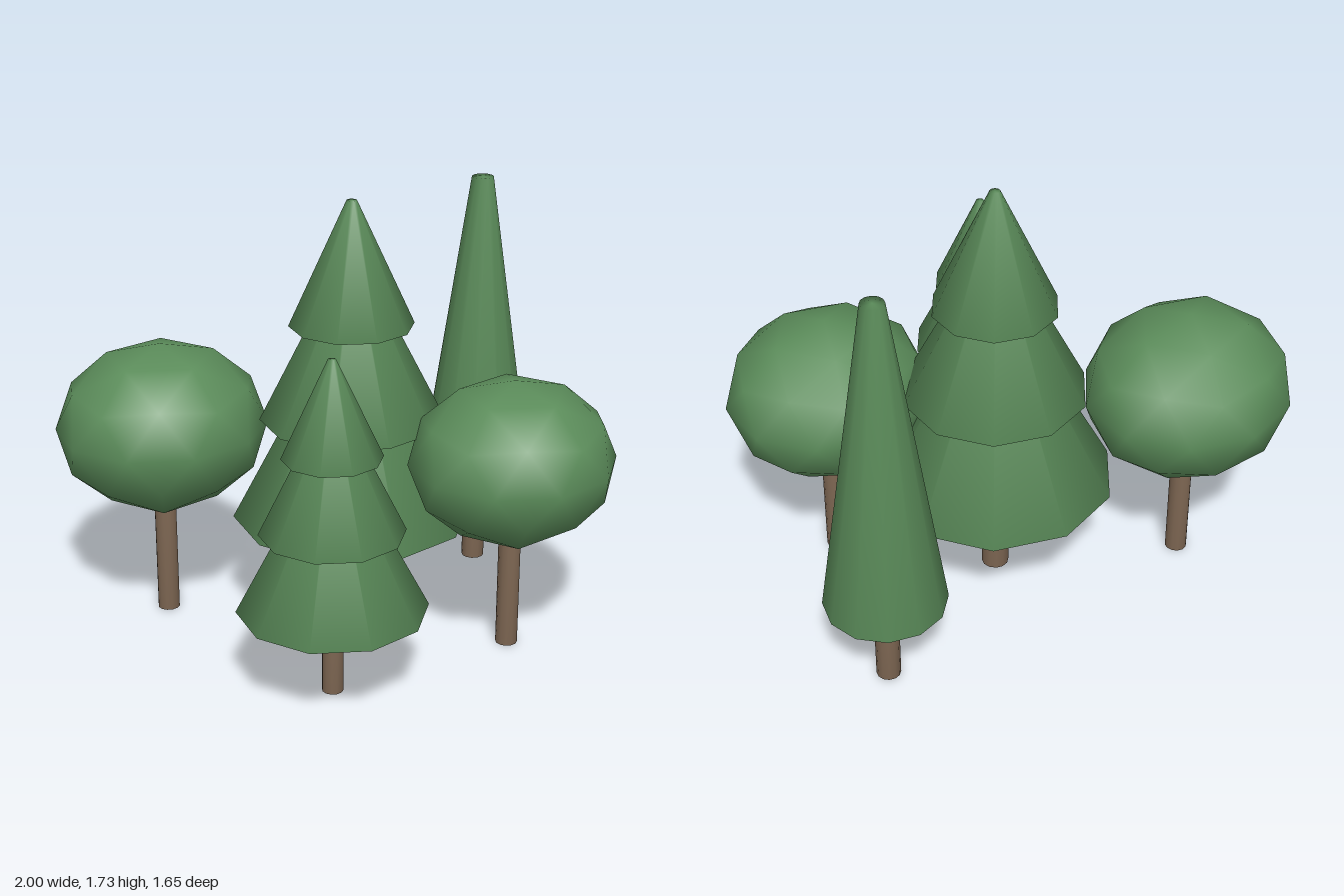
import * as THREE from 'three';
import { mergeVertices } from 'three/addons/utils/BufferGeometryUtils.js';

const leaf = new THREE.MeshStandardMaterial({ name: 'leaf green', color: 0x5b8c5a });
const bark = new THREE.MeshStandardMaterial({ name: 'bark brown', color: 0x7d6652 });

// Tapered prism whose wall and end caps share soft normals
function softCylinder(topRadius, baseRadius, y0, y1, sides) {
  let g = new THREE.CylinderGeometry(topRadius, baseRadius, y1 - y0, sides);
  g.deleteAttribute('uv');
  g.deleteAttribute('normal');
  g = mergeVertices(g, 1e-4);
  g.computeVertexNormals();
  return g.translate(0, (y0 + y1) / 2, 0);
}

function addMesh(parent, name, geometry, material) {
  const mesh = new THREE.Mesh(geometry, material);
  mesh.name = name;
  parent.add(mesh);
}

// A tree group at (x, z) with its trunk
function tree(name, x, z, trunkRadius, trunkTop) {
  const group = new THREE.Group();
  group.name = name;
  group.position.set(x, 0, z);
  addMesh(group, 'trunk', softCylinder(trunkRadius, trunkRadius, 0, trunkTop, 12), bark);
  return group;
}

// Conifer: foliage tiers given as [base radius, base y, top y]
function conifer(name, x, z, trunkRadius, topRadius, sides, tiers) {
  const group = tree(name, x, z, trunkRadius, tiers[0][1] + 0.06);
  tiers.forEach(([radius, y0, y1], i) =>
    addMesh(group, `foliageTier${i + 1}`, softCylinder(topRadius, radius, y0, y1, sides), leaf));
  return group;
}

// Broadleaf: flattened faceted ball with a corner pointing straight up
function broadleaf(name, x, z, trunkRadius, y, rx, ry, rz) {
  const group = tree(name, x, z, trunkRadius, y - ry + 0.08);
  const crown = new THREE.IcosahedronGeometry(1, 1)
    .rotateZ(-Math.atan(2 / (1 + Math.sqrt(5))))
    .scale(rx, ry, rz)
    .translate(0, y, 0);
  addMesh(group, 'crown', crown, leaf);
  return group;
}

export function createModel() {
  const model = new THREE.Group();
  model.name = 'treeCluster';
  model.add(
    conifer('tallConifer', 0.06, -0.08, 0.054, 0.02, 10,
      [[0.47, 0.45, 1.3], [0.36, 0.86, 1.53], [0.244, 1.24, 1.73]]),
    conifer('smallConifer', -0.252, 0.465, 0.041, 0.015, 10,
      [[0.36, 0.345, 1.0], [0.273, 0.655, 1.18], [0.187, 0.95, 1.325]]),
    conifer('columnTree', 0.762, -0.373, 0.047, 0.044, 12,
      [[0.234, 0.37, 1.68]]),
    broadleaf('backRoundTree', -0.602, -0.432, 0.044, 0.8, 0.42, 0.34, 0.395),
    broadleaf('frontRoundTree', 0.527, 0.385, 0.043, 0.776, 0.406, 0.325, 0.384),
  );
  return model;
}
